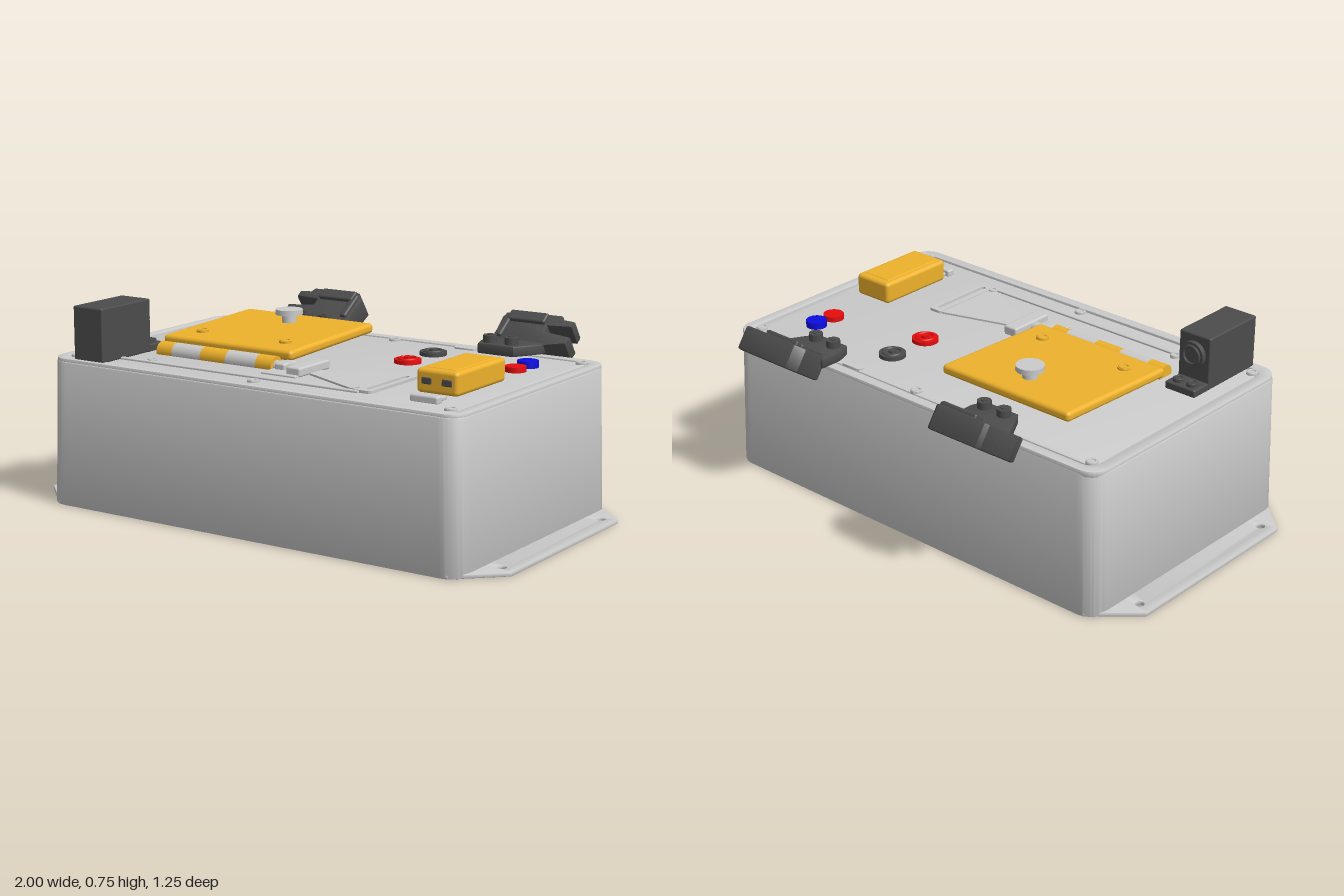
import * as THREE from 'three';
import { toCreasedNormals } from 'three/addons/utils/BufferGeometryUtils.js';
import { RoundedBoxGeometry } from 'three/addons/geometries/RoundedBoxGeometry.js';

const mat = (color) => new THREE.MeshStandardMaterial({ color });
const GREY = mat(0xcccccc), DARK = mat(0x4c4c4c), YELLOW = mat(0xeeb22c);
const RED = mat(0xe60d0d), BLUE = mat(0x0d0de0);
const CZ = 0.085; // centre of the case in z

function add(parent, name, geo, material, x = 0, y = 0, z = 0) {
  const mesh = new THREE.Mesh(geo, material);
  mesh.name = name;
  mesh.position.set(x, y, z);
  parent.add(mesh);
  return mesh;
}

// Rounded rectangle in the ground plane, given as x and z ranges
function roundRect(x0, x1, z0, z1, r, Type = THREE.Shape) {
  const s = new Type();
  s.moveTo(x0 + r, z0).lineTo(x1 - r, z0);
  s.absarc(x1 - r, z0 + r, r, -Math.PI / 2, 0);
  s.absarc(x1 - r, z1 - r, r, 0, Math.PI / 2);
  s.absarc(x0 + r, z1 - r, r, Math.PI / 2, Math.PI);
  s.absarc(x0 + r, z0 + r, r, Math.PI, Math.PI * 1.5);
  return s;
}

// Upright slab from a plan shape, between two heights, with optional soft edges
function slab(shape, y0, y1, b = 0) {
  const geo = new THREE.ExtrudeGeometry(shape, {
    depth: y1 - y0 - 2 * b, bevelEnabled: b > 0, bevelSize: b, bevelOffset: -b,
    bevelThickness: b, bevelSegments: 2, curveSegments: 10,
  });
  geo.rotateX(Math.PI / 2).translate(0, y1 - b, 0);
  return toCreasedNormals(geo, 0.6);
}

const box = (w, h, d, r = 0.008) => new RoundedBoxGeometry(w, h, d, 2, r);
const cyl = (r, h, n = 24) => new THREE.CylinderGeometry(r, r, h, n);

function screw(parent, x, y, z, r = 0.018, material = GREY) {
  add(parent, 'screw', cyl(r, 0.012, 16), material, x, y, z);
  const ring = add(parent, 'screwRing', new THREE.TorusGeometry(r * 0.75, 0.004, 6, 16), material, x, y + 0.006, z);
  ring.rotation.x = Math.PI / 2;
}

function makeCase() {
  const g = new THREE.Group();
  g.name = 'case';
  // Tapered shell
  const geo = slab(roundRect(-0.89, 0.89, -0.45, 0.625, 0.08), 0, 0.542, 0.006);
  const p = geo.attributes.position;
  for (let i = 0; i < p.count; i++) {
    const k = 1 - 0.017 * p.getY(i) / 0.55;
    p.setX(i, p.getX(i) * k);
    p.setZ(i, CZ + (p.getZ(i) - CZ) * k);
  }
  add(g, 'shell', toCreasedNormals(geo, 0.6), GREY);
  // Raised rim around the lid
  const rim = roundRect(-0.872, 0.872, -0.44, 0.612, 0.07);
  rim.holes.push(roundRect(-0.83, 0.83, -0.4, 0.57, 0.05, THREE.Path));
  add(g, 'rim', slab(rim, 0.53, 0.553, 0.003), GREY);
  add(g, 'lid', slab(roundRect(-0.82, 0.82, -0.39, 0.56, 0.04), 0.53, 0.55, 0.003), GREY);
  for (const x of [-0.8, 0, 0.8]) for (const z of [-0.37, 0.54]) screw(g, x, 0.55, z, 0.022);
  // Mounting flange with clipped corners and four holes
  const f = new THREE.Shape([
    [-1, -0.3], [-0.84, -0.445], [0.84, -0.445], [1, -0.3],
    [1, 0.47], [0.84, 0.62], [-0.84, 0.62], [-1, 0.47],
  ].map(([x, z]) => new THREE.Vector2(x, z)));
  for (const x of [-0.945, 0.945]) for (const z of [-0.27, 0.44]) {
    f.holes.push(new THREE.Path().absarc(x, z, 0.016, 0, Math.PI * 2));
  }
  add(g, 'flange', slab(f, 0, 0.016, 0.004), GREY);
  return g;
}

// Hinged cover plate with its knob, screws and striped hinge
function makeCover() {
  const g = new THREE.Group();
  g.name = 'cover';
  const plate = new THREE.Group();
  plate.name = 'coverPlate';
  plate.position.set(-0.322, 0.601, 0);
  plate.rotation.x = 0.04;
  add(plate, 'plate', box(0.585, 0.038, 0.54, 0.015), YELLOW);
  for (const x of [-0.19, 0.19]) screw(plate, x, 0.02, 0.16, 0.024, YELLOW);
  g.add(plate);
  add(g, 'knobStem', cyl(0.028, 0.11), GREY, -0.325, 0.605, -0.133);
  add(g, 'knobHead', cyl(0.052, 0.02), GREY, -0.325, 0.665, -0.133);
  const stops = [-0.585, -0.515, -0.385, -0.27, -0.135, -0.065];
  for (let i = 0; i < 5; i++) {
    const w = stops[i + 1] - stops[i];
    const m = add(g, 'hingeBarrel', cyl(0.035, w), i % 2 ? GREY : YELLOW, stops[i] + w / 2, 0.56, 0.312);
    m.rotation.z = Math.PI / 2;
  }
  return g;
}

// Shaft, coupling and lever on the lid in front of the cover
function makeLinkage() {
  const g = new THREE.Group();
  g.name = 'linkage';
  add(g, 'shaft', cyl(0.022, 0.14), GREY, -0.01, 0.558, 0.31).rotation.z = Math.PI / 2;
  add(g, 'shaftBlock', box(0.045, 0.035, 0.08), GREY, -0.025, 0.562, 0.31);
  add(g, 'couplingBar', box(0.06, 0.035, 0.19), GREY, 0.065, 0.566, 0.3);
  add(g, 'couplingFoot', box(0.15, 0.012, 0.21, 0.004), GREY, 0.015, 0.551, 0.31);
  const lever = new THREE.Shape([[0.1, 0.27], [0.39, 0.18], [0.39, 0.48], [0.1, 0.34]]
    .map(([x, z]) => new THREE.Vector2(x, z)));
  add(g, 'lever', slab(lever, 0.54, 0.557), GREY);
  const guide = roundRect(0.39, 0.45, 0.175, 0.485, 0.012);
  guide.holes.push(roundRect(0.41, 0.43, 0.2, 0.46, 0.008, THREE.Path));
  add(g, 'guide', slab(guide, 0.54, 0.56), GREY);
  add(g, 'rail', box(1.05, 0.012, 0.02, 0.004), GREY, -0.12, 0.552, 0.485);
  for (const x of [-0.51, 0.38]) screw(g, x, 0.553, 0.465);
  for (const x of [-0.212, 0.312]) {
    add(g, 'lidSlot', slab(roundRect(x - 0.047, x + 0.047, -0.39, -0.36, 0.014), 0.54, 0.556), GREY);
  }
  return g;
}

// Round sockets and push buttons
function makeControls() {
  const g = new THREE.Group();
  g.name = 'controls';
  for (const [m, z] of [[DARK, -0.215], [RED, -0.04]]) {
    add(g, 'socket', cyl(0.05, 0.02, 32), m, 0.268, 0.555, z);
    add(g, 'socketRing', new THREE.TorusGeometry(0.033, 0.006, 8, 28), m, 0.268, 0.565, z).rotation.x = Math.PI / 2;
    add(g, 'socketPin', cyl(0.014, 0.026, 16), m, 0.268, 0.56, z);
  }
  for (const [m, z, y] of [[BLUE, -0.215, 0.575], [RED, -0.125, 0.57]]) {
    add(g, 'button', cyl(0.039, y - 0.545, 32), m, 0.666, (y + 0.545) / 2, z);
  }
  return g;
}

// Yellow latch with slots in its front and a grey tab
function makeLatch() {
  const g = new THREE.Group();
  g.name = 'latch';
  add(g, 'latchBody', box(0.165, 0.085, 0.325, 0.015), YELLOW, 0.665, 0.603, 0.247);
  add(g, 'latchPad', box(0.12, 0.008, 0.27, 0.004), YELLOW, 0.665, 0.644, 0.247);
  for (const x of [-0.04, 0.04]) add(g, 'latchSlot', box(0.04, 0.024, 0.01, 0.004), DARK, 0.665 + x, 0.605, 0.407);
  add(g, 'latchTab', box(0.11, 0.03, 0.035), GREY, 0.665, 0.56, 0.475);
  add(g, 'latchTongue', box(0.08, 0.015, 0.06, 0.005), GREY, 0.665, 0.556, 0.435);
  return g;
}

// Dark upright housing with a round port on its back
function makeHousing() {
  const g = new THREE.Group();
  g.name = 'housing';
  add(g, 'housingBody', box(0.135, 0.2, 0.275, 0.006), DARK, -0.7, 0.65, 0.458);
  add(g, 'housingFoot', box(0.13, 0.03, 0.1, 0.006), DARK, -0.7, 0.562, 0.29);
  for (const x of [-0.73, -0.67]) screw(g, x, 0.58, 0.275, 0.022, DARK);
  const port = add(g, 'port', cyl(0.05, 0.03), DARK, -0.7, 0.675, 0.317);
  port.rotation.x = Math.PI / 2;
  add(g, 'portRing', new THREE.TorusGeometry(0.034, 0.006, 8, 24), DARK, -0.7, 0.675, 0.302);
  return g;
}

// Rear bracket: bolted foot and a tilted forked head; x runs from the straight edge outward
function makeBracket(x, side) {
  const g = new THREE.Group();
  g.name = 'rearBracket';
  g.position.x = x;
  const pts = (list) => new THREE.Shape(list.map(([a, b]) => new THREE.Vector2(a * side, b)));
  const foot = pts([[0.02, -0.325], [0.17, -0.325], [0.23, -0.43], [0.23, -0.47], [0, -0.47], [0, -0.38]]);
  add(g, 'bracketFoot', slab(foot, 0.552, 0.592, 0.006), DARK);
  for (const a of [0.05, 0.14]) {
    add(g, 'bracketBolt', cyl(0.026, 0.03, 16), DARK, a * side, 0.604, -0.365);
    add(g, 'boltSocket', cyl(0.012, 0.036, 6), DARK, a * side, 0.605, -0.365);
  }
  const head = new THREE.Group();
  head.name = 'bracketHead';
  head.position.set(0, 0.598, -0.528);
  head.rotation.x = 0.61;
  const fork = pts([
    [0.01, 0.08], [0.22, 0.08], [0.31, 0.055], [0.315, 0.02], [0.2, 0.005], [0.2, -0.025],
    [0.3, -0.03], [0.3, -0.06], [0.25, -0.065], [0.24, -0.083], [0.03, -0.083], [0, -0.05],
  ]);
  add(head, 'fork', slab(fork, -0.052, 0.04, 0.008), DARK);
  add(head, 'topRib', box(0.16, 0.03, 0.05), DARK, 0.11 * side, 0.04, -0.05);
  add(head, 'sideRib', box(0.03, 0.025, 0.12), DARK, 0.03 * side, 0.04, 0);
  g.add(head);
  return g;
}

export function createModel() {
  const model = new THREE.Group();
  model.name = 'controlBox';
  model.add(makeCase(), makeCover(), makeLinkage(), makeControls(), makeLatch(), makeHousing());
  model.add(makeBracket(-0.268, -1), makeBracket(0.372, 1));
  return model;
}
